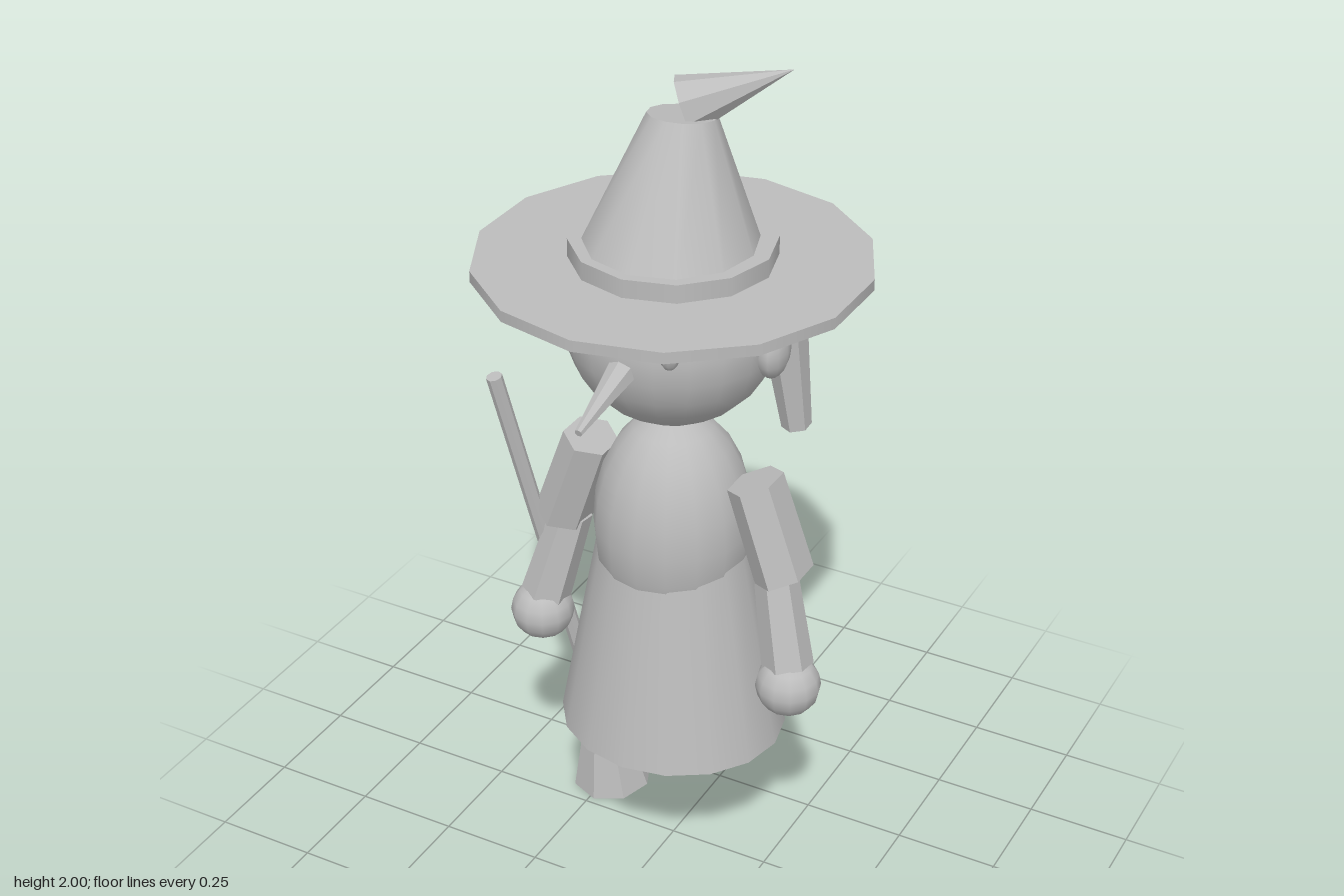
import * as THREE from 'three';

const clay = new THREE.MeshStandardMaterial({ color: 0xbcbcbc });
const UP = new THREE.Vector3(0, 1, 0);

// Give a geometry one normal per face
function faceted(geometry) {
  const g = geometry.toNonIndexed();
  g.computeVertexNormals();
  return g;
}

function add(parent, name, geometry, x = 0, y = 0, z = 0) {
  const mesh = new THREE.Mesh(geometry, clay);
  mesh.name = name;
  mesh.position.set(x, y, z);
  parent.add(mesh);
  return mesh;
}

function ellipsoid(parent, name, [x, y, z], [rx, ry, rz], w = 16, h = 12) {
  return add(parent, name, new THREE.SphereGeometry(1, w, h).scale(rx, ry, rz), x, y, z);
}

// Tapered faceted rod from point a (radius ra) to point b (radius rb)
function rod(parent, name, a, b, ra, rb, sides, widthScale = 1) {
  const A = new THREE.Vector3(...a);
  const B = new THREE.Vector3(...b);
  const axis = A.clone().sub(B);
  const g = new THREE.CylinderGeometry(ra, rb, axis.length(), sides).scale(widthScale, 1, 1);
  const mid = A.add(B).multiplyScalar(0.5);
  const mesh = add(parent, name, faceted(g), mid.x, mid.y, mid.z);
  mesh.quaternion.setFromUnitVectors(UP, axis.normalize());
  return mesh;
}

export function createModel() {
  const model = new THREE.Group();
  model.name = 'witch';

  // Body and skirt
  ellipsoid(model, 'torso', [0, 0.92, 0], [0.185, 0.288, 0.185], 16, 12);
  add(model, 'skirt', new THREE.CylinderGeometry(0.18, 0.272, 0.49, 16).scale(1, 1, 0.925), 0, 0.62, 0)
    .scale.set(1, 1, 1);

  // Head, nose and hat
  const head = new THREE.Group();
  head.name = 'head';
  model.add(head);
  ellipsoid(head, 'skull', [0, 1.445, 0], [0.243, 0.243, 0.243], 20, 14);
  rod(head, 'nose', [0, 1.425, 0.2], [0, 1.36, 0.415], 0.037, 0.009, 7);

  const hat = new THREE.Group();
  hat.name = 'hat';
  model.add(hat);
  add(hat, 'brim', new THREE.CylinderGeometry(0.44, 0.44, 0.026, 14), 0, 1.577, 0);
  add(hat, 'hatBand', new THREE.CylinderGeometry(0.228, 0.228, 0.045, 12), 0, 1.61, 0);
  add(hat, 'crown', new THREE.CylinderGeometry(0.076, 0.21, 0.315, 12), 0, 1.745, -0.017)
    .rotation.x = -0.14;
  rod(hat, 'bentTip', [0.203, 1.998, -0.153], [0, 1.918, -0.045], 0, 0.066, 8);

  for (const s of [1, -1]) {
    const side = s > 0 ? 'left' : 'right';

    // Eyes, ears and hair
    ellipsoid(head, side + 'Eye', [s * 0.103, 1.485, 0.21], [0.027, 0.048, 0.024], 10, 8);
    ellipsoid(head, side + 'Pupil', [s * 0.098, 1.483, 0.231], [0.012, 0.022, 0.008], 8, 6);
    ellipsoid(head, side + 'Ear', [s * 0.243, 1.42, 0], [0.035, 0.064, 0.053], 10, 8);
    rod(head, side + 'Hair', [s * 0.222, 1.532, -0.068], [s * 0.258, 1.19, -0.097], 0.058, 0.034, 6);

    // Arms and hands
    const arm = new THREE.Group();
    arm.name = side + 'Arm';
    model.add(arm);
    rod(arm, 'upperArm', [s * 0.21, 1.085, 0.007], [s * 0.287, 0.862, 0.007], 0.076, 0.08, 6, 0.82);
    rod(arm, 'foreArm', [s * 0.265, 0.868, 0.008], [s * 0.32, 0.645, 0.045], 0.05, 0.06, 6);
    ellipsoid(arm, 'hand', [s * 0.326, 0.6, 0.053], [0.076, 0.073, 0.076], 12, 8);

    // Shoes
    const sole = [[0, 0], [0.68, 0], [1, 0.035], [0.95, 0.07], [0, 0.09]]
      .map(([x, y]) => new THREE.Vector2(x, y));
    const shoe = new THREE.LatheGeometry(sole, 8).rotateY(Math.PI / 8).scale(0.092, 1, 0.142);
    add(model, side + 'Shoe', faceted(shoe), s * 0.1, 0.325, 0.028);
  }

  // Broom held in the right hand
  const broom = new THREE.Group();
  broom.name = 'broom';
  model.add(broom);
  rod(broom, 'broomHandle', [-0.39, 1.25, 0.125], [-0.262, 0.25, -0.085], 0.019, 0.019, 8);
  rod(broom, 'broomBrush', [-0.248, 0.305, -0.083], [-0.238, 0.014, -0.116], 0.032, 0.1, 8);

  return model;
}
